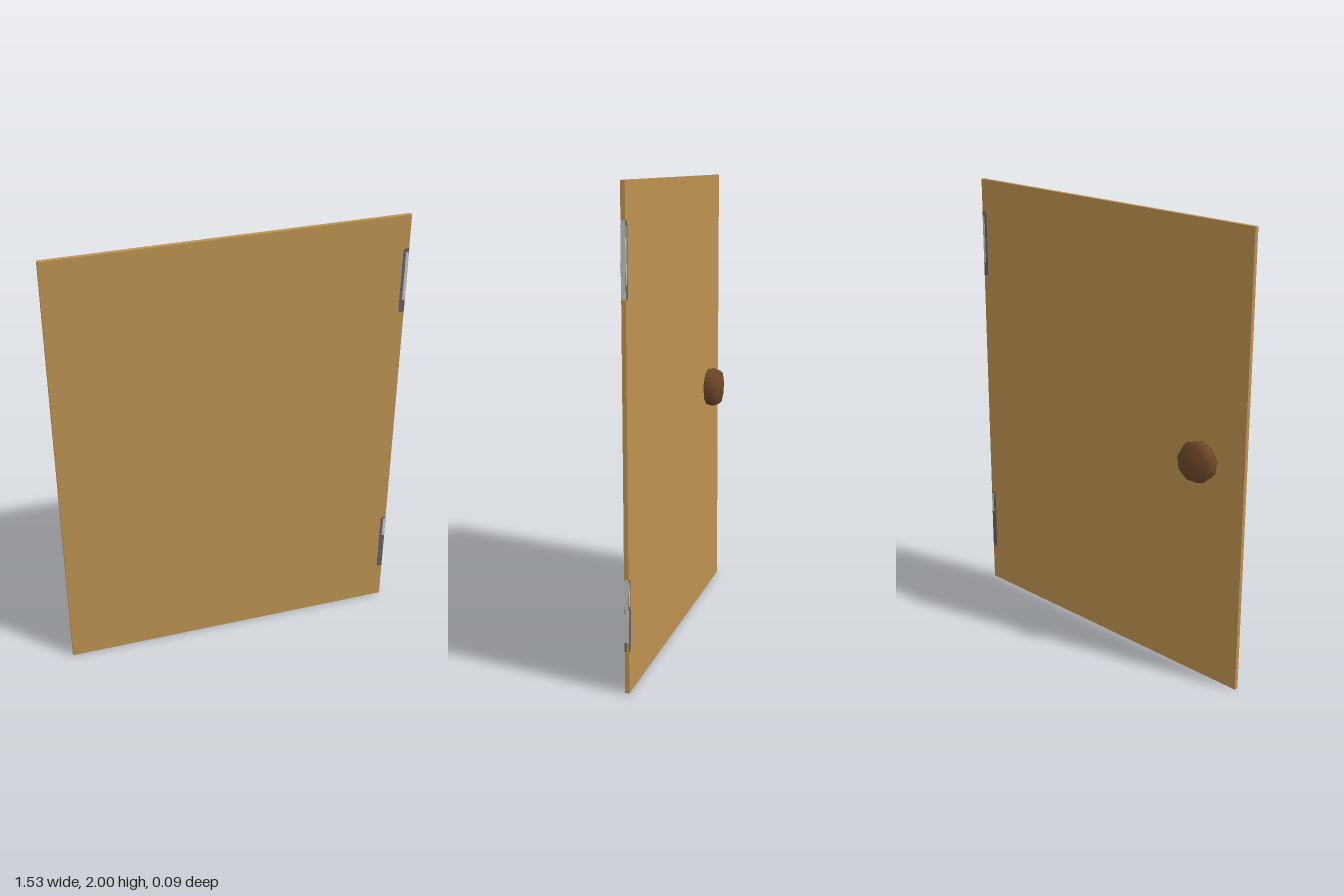
import * as THREE from 'three';

const material = (name, color) => {
  const m = new THREE.MeshStandardMaterial({ color });
  m.name = name;
  return m;
};

const HALF_WIDTH = 0.766, FRONT = 0.047, BACK = 0.029;
const MID = (FRONT + BACK) / 2, THICK = FRONT - BACK;

export function createModel() {
  const wood = material('wood', 0xbe9351);
  const knobWood = material('darkWood', 0x6e4728);
  const steel = material('steel', 0xc4c4c6);
  const darkSteel = material('darkSteel', 0x626266);

  const door = new THREE.Group();
  door.name = 'door';
  const add = (parent, name, geometry, mat, x, y, z) => {
    const mesh = new THREE.Mesh(geometry, mat);
    mesh.name = name;
    mesh.position.set(x, y, z);
    parent.add(mesh);
    return mesh;
  };

  // Flat door leaf
  add(door, 'panel', new THREE.BoxGeometry(HALF_WIDTH * 2 - 0.002, 2, THICK), wood, 0, 1, MID);

  // Faceted round knob on the back, its axis along z
  const profile = [[0.084, 0], [0.092, 0.03], [0.08, 0.063], [0, 0.076]]
    .map(([r, h]) => new THREE.Vector2(r, h));
  const knobGeometry = new THREE.LatheGeometry(profile, 9);
  knobGeometry.rotateX(-Math.PI / 2);
  add(door, 'knob', knobGeometry, knobWood, -0.545, 1.003, BACK);

  // Hinge leaf outline: rounded on the inner side, straight at the door edge
  const leafShape = (w, h, r) => {
    const s = new THREE.Shape();
    s.moveTo(0, -h / 2);
    s.lineTo(0, h / 2);
    s.lineTo(-w + r, h / 2);
    s.quadraticCurveTo(-w, h / 2, -w, h / 2 - r);
    s.lineTo(-w, -h / 2 + r);
    s.quadraticCurveTo(-w, -h / 2, -w + r, -h / 2);
    return s;
  };
  const plate = (w, h, r, depth) => {
    const g = new THREE.ExtrudeGeometry(leafShape(w, h, r), { depth, bevelEnabled: false, curveSegments: 3 });
    return g.translate(0, 0, -depth / 2);
  };

  // Two hinges wrapped round the door edge, each with a bright worn strip
  const hinges = [
    { name: 'upperHinge', y: 1.705, stripY: 0.02, stripH: 0.22, edgeLow: -0.145 },
    { name: 'lowerHinge', y: 0.32, stripY: 0.09, stripH: 0.1, edgeLow: -0.11 },
  ];
  for (const { name, y, stripY, stripH, edgeLow } of hinges) {
    const hinge = new THREE.Group();
    hinge.name = name;
    hinge.position.set(HALF_WIDTH - 0.001, y, MID);
    door.add(hinge);
    add(hinge, 'leaf', plate(0.025, 0.295, 0.012, THICK + 0.001), darkSteel, 0, 0, 0);
    add(hinge, 'strip', new THREE.BoxGeometry(0.012, stripH, THICK + 0.002), steel, -0.0065, stripY, 0);
    const edgeHigh = 0.148;
    add(hinge, 'edgePlate', new THREE.BoxGeometry(0.001, edgeHigh - edgeLow, THICK),
      steel, 0.0005, (edgeHigh + edgeLow) / 2, 0);
  }
  return door;
}
